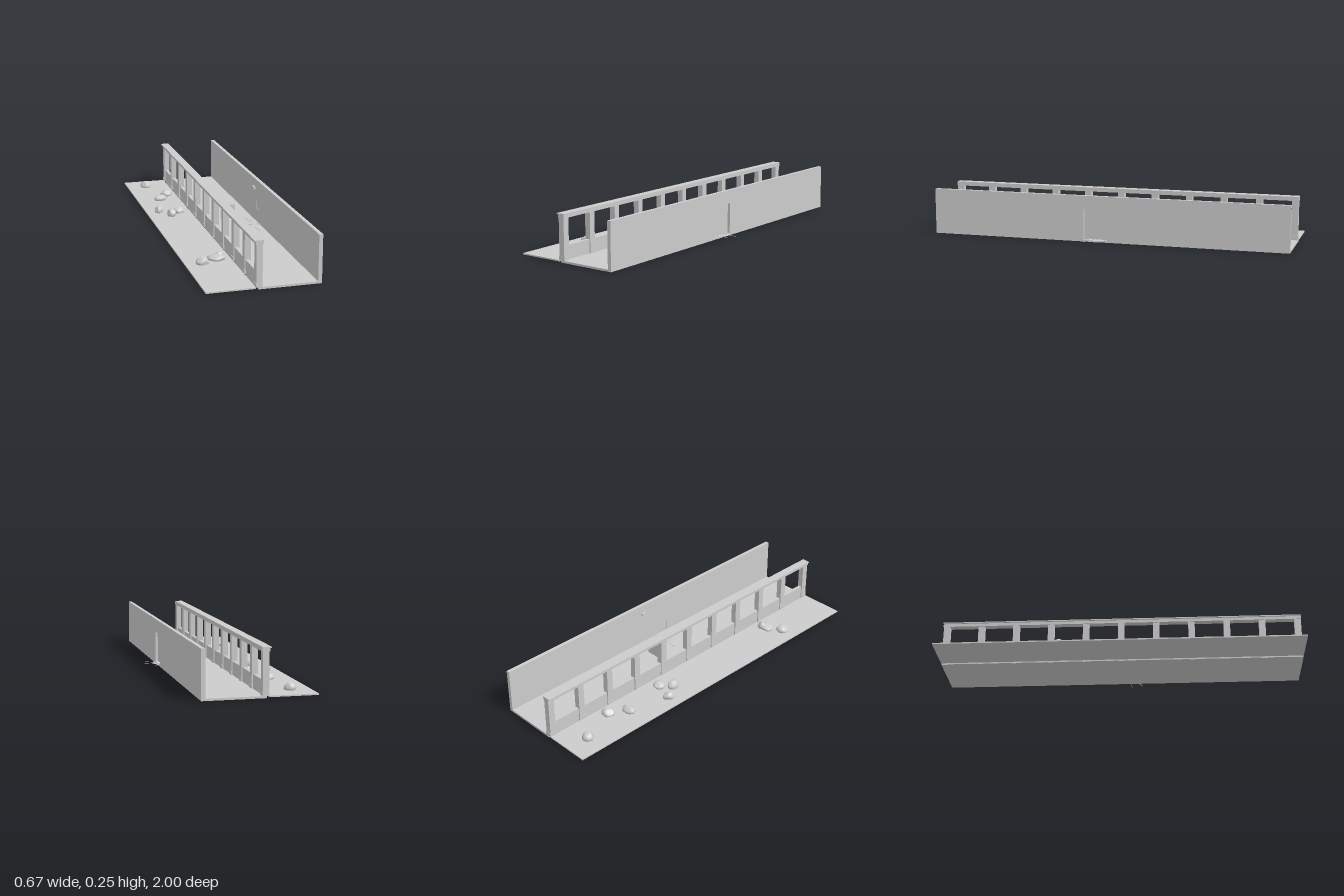
import * as THREE from 'three';
import { mergeVertices } from 'three/addons/utils/BufferGeometryUtils.js';

const stone = new THREE.MeshStandardMaterial({ color: 0xcccccc, side: THREE.DoubleSide });
stone.name = 'pale grey stone';

// Small seeded generator for stones and litter
function seeded(seed) {
  let s = seed;
  return () => (s = (s * 16807) % 2147483647) / 2147483647;
}

function add(parent, name, geometry) {
  const mesh = new THREE.Mesh(geometry, stone);
  mesh.name = name;
  parent.add(mesh);
  return mesh;
}

// Box given by its limits on each axis
function box(parent, name, x0, x1, y0, y1, z0, z1) {
  const mesh = add(parent, name, new THREE.BoxGeometry(x1 - x0, y1 - y0, z1 - z0));
  mesh.position.set((x0 + x1) / 2, (y0 + y1) / 2, (z0 + z1) / 2);
  return mesh;
}

// Boulder: a sphere cut back by random planes, flat underneath
function boulderGeometry(seed, rx, height, rz, detail) {
  const rand = seeded(seed * 7919 + 13);
  const planes = [];
  for (let i = 0; i < 14; i++) {
    const n = new THREE.Vector3(rand() - 0.5, rand() - 0.5, rand() - 0.5).normalize();
    planes.push({ n, d: 0.76 + 0.24 * rand() });
  }
  let geometry = new THREE.IcosahedronGeometry(1, detail);
  geometry.deleteAttribute('uv');
  geometry.deleteAttribute('normal');
  geometry = mergeVertices(geometry, 1e-4);
  const p = geometry.attributes.position;
  const v = new THREE.Vector3();
  for (let i = 0; i < p.count; i++) {
    v.fromBufferAttribute(p, i).normalize();
    let r = 1;
    for (const { n, d } of planes) {
      const c = n.dot(v);
      if (c > 0) r = Math.min(r, d / c);
    }
    v.multiplyScalar(r);
    p.setXYZ(i, v.x * rx * 1.08, Math.max(0, (v.y + 0.4) * height / 1.3), v.z * rz * 1.08);
  }
  geometry.computeVertexNormals();
  return geometry;
}

export function createModel() {
  const model = new THREE.Group();
  model.name = 'walkway';

  // Ground strip and corridor floor
  box(model, 'outerGround', -0.335, -0.083, 0.004, 0.011, -1, 1);
  box(model, 'corridorFloor', -0.071, 0.254, 0, 0.011, -1, 1);

  // Solid wall with a doorway
  const outline = new THREE.Shape();
  outline.moveTo(-1, 0).lineTo(1, 0).lineTo(1, 0.253).lineTo(-1, 0.253).closePath();
  const opening = new THREE.Path();
  opening.moveTo(-0.01, 0.012).lineTo(-0.01, 0.18).lineTo(0.124, 0.18).lineTo(0.124, 0.012).closePath();
  outline.holes.push(opening);
  const wallGeometry = new THREE.ExtrudeGeometry(outline, { depth: 0.02, bevelEnabled: false });
  wallGeometry.rotateY(-Math.PI / 2);
  add(model, 'wall', wallGeometry).position.x = 0.255;

  // Door set back in the doorway, with its handle and a wall lamp
  box(model, 'door', 0.2355, 0.241, 0.012, 0.18, -0.01, 0.124);
  box(model, 'doorHandle', 0.233, 0.236, 0.083, 0.09, 0.008, 0.028);
  box(model, 'wallLamp', 0.224, 0.2355, 0.191, 0.207, -0.07, -0.04);

  // Colonnade: posts with plinths, low panels and a continuous cornice
  const colonnade = new THREE.Group();
  colonnade.name = 'colonnade';
  model.add(colonnade);
  const bays = 10, half = 0.02, pitch = (2 - 2 * half) / bays;
  for (let i = 0; i <= bays; i++) {
    const z = -1 + half + i * pitch;
    box(colonnade, 'post', -0.082, -0.05, 0.011, 0.228, z - half + 0.002, z + half - 0.002);
    box(colonnade, 'postPlinth', -0.084, -0.048, 0.011, 0.03, z - half, z + half);
    if (i < bays) box(colonnade, 'parapetPanel', -0.076, -0.056, 0, 0.085, z + half - 0.004, z + pitch - half + 0.004);
  }
  const cornice = new THREE.Shape();
  cornice.moveTo(-0.085, 0.227).lineTo(-0.047, 0.227).lineTo(-0.047, 0.25).lineTo(-0.093, 0.25)
    .lineTo(-0.093, 0.244).lineTo(-0.085, 0.244).closePath();
  add(colonnade, 'cornice', new THREE.ExtrudeGeometry(cornice, { depth: 2, bevelEnabled: false })).position.z = -1;

  // Upright sheet in the corridor
  box(model, 'uprightSheet', 0.05, 0.134, 0.011, 0.09, -0.111, -0.108);

  // Boulders: x, z, half width, height, half depth, turn
  const boulders = [
    [-0.227, -0.87, 0.029, 0.036, 0.031, 0.3], [-0.143, -0.66, 0.034, 0.033, 0.031, 0.2],
    [-0.197, -0.567, 0.038, 0.03, 0.024, 0.1], [-0.262, -0.33, 0.023, 0.035, 0.032, -0.3],
    [-0.15, -0.297, 0.032, 0.03, 0.033, 0], [-0.206, -0.243, 0.024, 0.04, 0.034, 0],
    [-0.245, 0.6, 0.034, 0.033, 0.031, 0.3], [-0.163, 0.557, 0.046, 0.026, 0.036, -0.2],
    [-0.14, 0.54, 0.023, 0.036, 0.021, 0]
  ];
  boulders.forEach(([x, z, rx, h, rz, turn], i) => {
    const rock = add(model, 'boulder', boulderGeometry(i + 3, rx, h, rz, 5));
    rock.position.set(x, 0.011, z);
    rock.rotation.y = turn;
  });

  // Rubble scattered about the doorway
  const rubble = new THREE.Group();
  rubble.name = 'rubble';
  model.add(rubble);
  const rand = seeded(4321);
  for (let i = 0; i < 26; i++) {
    const r = 0.002 + 0.005 * rand() * rand();
    const chip = add(rubble, 'chip', boulderGeometry(i + 40, r, r * 1.3, r, 1));
    chip.position.set(0.2 + 0.1 * (rand() + rand() - 1), 0.011, 0.05 + 0.12 * (rand() + rand() - 1));
  }

  // Flat dust patch spilling past the doorway
  const patch = new THREE.Shape();
  patch.moveTo(0.22, -0.06).lineTo(0.26, 0).lineTo(0.282, -0.025).lineTo(0.287, -0.05)
    .lineTo(0.268, -0.09).lineTo(0.25, -0.105).lineTo(0.225, -0.08).closePath();
  const patchGeometry = new THREE.ShapeGeometry(patch).rotateX(-Math.PI / 2);
  add(rubble, 'dustPatch', patchGeometry).position.y = 0.0125;

  // Fine twigs: start x, z and end x, z
  const twigs = [
    [0.2, 0.035, 0.334, 0.042], [0.22, 0.05, 0.32, 0.105], [0.23, 0.02, 0.285, -0.02],
    [0.065, 0.03, 0.2, 0.045], [0.12, 0.02, 0.19, 0.06], [0.185, -0.09, 0.2, 0.01], [0.195, 0.12, 0.2, 0.175]
  ];
  for (const [x0, z0, x1, z1] of twigs) {
    const twig = add(rubble, 'twig', new THREE.BoxGeometry(Math.hypot(x1 - x0, z1 - z0), 0.002, 0.002));
    twig.position.set((x0 + x1) / 2, 0.0125, (z0 + z1) / 2);
    twig.rotation.y = -Math.atan2(z1 - z0, x1 - x0);
  }
  return model;
}
